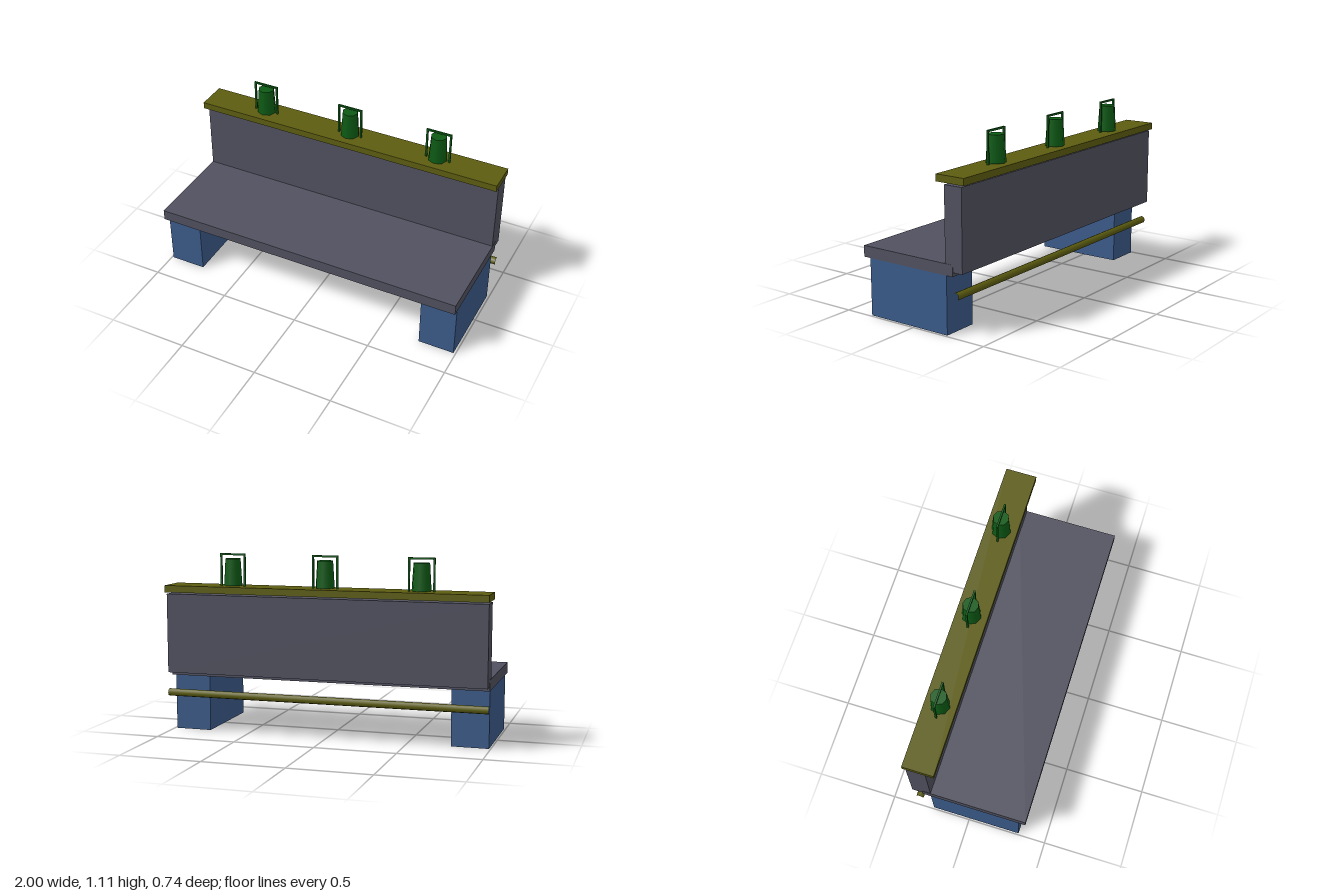
import * as THREE from 'three';

const paint = (color) => new THREE.MeshStandardMaterial({ color });
const legPaint = paint(0x3a5a88);
const benchPaint = paint(0x50505f);
const railPaint = paint(0x5c5c10);
const lanternPaint = paint(0x0c5a14);

function add(parent, name, geometry, material, x, y, z) {
  const mesh = new THREE.Mesh(geometry, material);
  mesh.name = name;
  mesh.position.set(x, y, z);
  parent.add(mesh);
  return mesh;
}

// Box given by its minimum and maximum corners
function block(parent, name, material, [x0, y0, z0], [x1, y1, z1]) {
  const geometry = new THREE.BoxGeometry(x1 - x0, y1 - y0, z1 - z0);
  return add(parent, name, geometry, material, (x0 + x1) / 2, (y0 + y1) / 2, (z0 + z1) / 2);
}

// Tapered pot with a square wire handle, standing on its origin
function lantern() {
  const group = new THREE.Group();
  group.name = 'lantern';
  const height = 0.162, half = 0.075, top = 0.197, wire = 0.011;
  add(group, 'lanternBody', new THREE.CylinderGeometry(0.049, 0.059, height, 8), lanternPaint, 0, height / 2 + 0.004, 0);
  for (const side of [-1, 1]) {
    add(group, 'handlePost', new THREE.BoxGeometry(wire, top, wire), lanternPaint, side * half, top / 2, 0);
  }
  add(group, 'handleBar', new THREE.BoxGeometry(half * 2 + wire, wire, wire), lanternPaint, 0, top - wire / 2, 0);
  return group;
}

export function createModel() {
  const model = new THREE.Group();
  model.name = 'bench';

  // Bench body
  for (const x of [-0.99, 0.76]) {
    block(model, 'leg', legPaint, [x, 0, -0.237], [x + 0.226, 0.35, 0.326]);
  }
  block(model, 'seat', benchPaint, [-0.997, 0.349, -0.284], [0.99, 0.417, 0.37]);
  block(model, 'backrest', benchPaint, [-0.995, 0.374, -0.35], [0.988, 0.86, -0.231]);

  // Shelf floating just above the backrest
  block(model, 'topShelf', railPaint, [-0.998, 0.871, -0.37], [0.993, 0.913, -0.177]);

  // Open-ended pipe behind the legs
  const pipe = new THREE.CylinderGeometry(0.023, 0.023, 2, 8, 1, true);
  pipe.rotateZ(Math.PI / 2);
  add(model, 'rearPipe', pipe, railPaint, 0, 0.243, -0.31);

  // Lanterns along the shelf
  for (const i of [-1, 0, 1]) {
    const lamp = lantern();
    lamp.position.set(i * 0.584 - 0.003, 0.913, -0.274);
    model.add(lamp);
  }
  return model;
}
